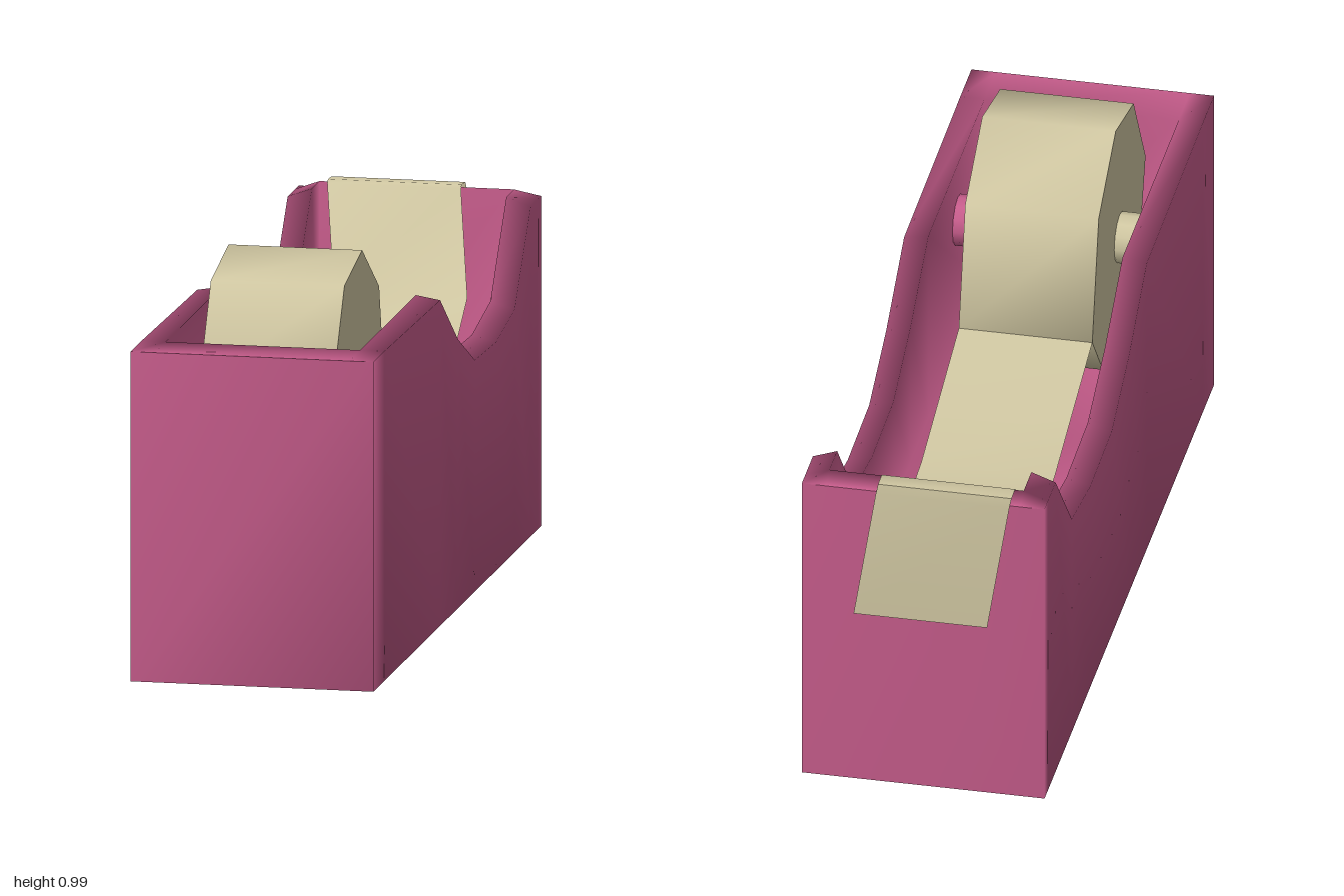
import * as THREE from 'three';
import { mergeVertices, toCreasedNormals } from 'three/addons/utils/BufferGeometryUtils.js';

const pink = new THREE.MeshStandardMaterial({ color: 0xc65c8b });
pink.name = 'pinkPlastic';
const cream = new THREE.MeshStandardMaterial({ color: 0xcfc6a1, side: THREE.DoubleSide });
cream.name = 'creamTape';

function part(name, geometry, material) {
  const mesh = new THREE.Mesh(geometry, material);
  mesh.name = name;
  return mesh;
}

function buildGeometry(positions, index) {
  const g = new THREE.BufferGeometry();
  g.setAttribute('position', new THREE.Float32BufferAttribute(positions, 3));
  g.setIndex(index);
  return g;
}

// Open trough: U-shaped cross-sections from front to back, smooth shaded
function bodyGeometry() {
  const floor = 0.3;
  // z, outer rim height, inner rim height, cavity floor height
  const stations = [
    [1, 0.815, 0.815, 0.815], [0.87, 0.815, 0.815, 0.815], [0.87, 0.815, 0.815, floor],
    [0.21, 0.805, 0.815, floor], [0, 0.665, 0.68, floor], [-0.2, 0.572, 0.588, floor],
    [-0.45, 0.565, 0.58, floor], [-0.67, 0.6, 0.618, floor], [-0.86, 0.815, 0.837, floor],
    [-0.95, 0.815, 0.837, floor], [-0.95, 0.815, 0.837, 0.837], [-0.99, 0.815, 0.815, 0.815],
  ];
  const pos = [], idx = [];
  const quad = (a, b, c, d) => idx.push(a, b, c, a, c, d);
  stations.forEach(([z, yo, yi, yf], i) => {
    const half = [[0.3, 0], [0.3, yo], [0.24, yi], [0.24, yf]];
    half.forEach(([x, y]) => pos.push(-x, y, z));
    [...half].reverse().forEach(([x, y]) => pos.push(x, y, z));
    if (i === 0) return;
    const p = (i - 1) * 8, q = i * 8;
    for (let j = 0; j < 8; j++) {
      const k = (j + 1) % 8;
      quad(p + j, p + k, q + k, q + j);
    }
  });
  const e = (stations.length - 1) * 8;
  quad(0, 7, 6, 1);
  quad(e, e + 1, e + 6, e + 7);
  const g = mergeVertices(buildGeometry(pos, idx));
  g.computeVertexNormals();
  return g;
}

// Chunky tape roll, side profile extruded across the width
function rollGeometry() {
  const profile = [[0.86, 0.71], [0.72, 0.94], [0.51, 0.985], [0.31, 0.855],
    [0.235, 0.55], [0.36, 0.4], [0.56, 0.34], [0.77, 0.44]];
  const shape = new THREE.Shape(profile.map(([z, y]) => new THREE.Vector2(z, y)));
  const g = new THREE.ExtrudeGeometry(shape, { depth: 0.33, bevelEnabled: false });
  g.rotateY(-Math.PI / 2).translate(0.17, 0, 0);
  return toCreasedNormals(g, 1.2);
}

// Ribbon of tape through points of [z, y, centre x]
function ribbonGeometry(path, width) {
  const pos = [], idx = [];
  path.forEach(([z, y, x], i) => {
    pos.push(x - width / 2, y, z, x + width / 2, y, z);
    if (i === 0) return;
    const a = (i - 1) * 2;
    idx.push(a, a + 1, a + 3, a, a + 3, a + 2);
  });
  return toCreasedNormals(buildGeometry(pos, idx), 1.0);
}

function axleGeometry(x0, x1) {
  const g = new THREE.CylinderGeometry(0.063, 0.063, x1 - x0, 12);
  return g.rotateZ(Math.PI / 2).translate((x0 + x1) / 2, 0.66, 0.555);
}

export function createModel() {
  const group = new THREE.Group();
  group.name = 'tapeDispenser';
  group.add(part('body', bodyGeometry(), pink));
  group.add(part('tapeRoll', rollGeometry(), cream));
  group.add(part('rightAxle', axleGeometry(0.165, 0.24), pink));
  group.add(part('leftAxle', axleGeometry(-0.24, -0.155), cream));

  // Tape runs through the valley, up over the back wall and down behind it
  group.add(part('tapeStrip', ribbonGeometry([
    [0.235, 0.55, 0.005], [0, 0.495, 0.003], [-0.23, 0.445, 0], [-0.47, 0.44, -0.005],
    [-0.64, 0.485, -0.01], [-0.83, 0.59, -0.015], [-0.945, 0.835, -0.055],
    [-0.955, 0.842, -0.055], [-0.997, 0.84, -0.055], [-1, 0.815, -0.05], [-1, 0.47, 0.005],
  ], 0.33), cream));
  return group;
}
